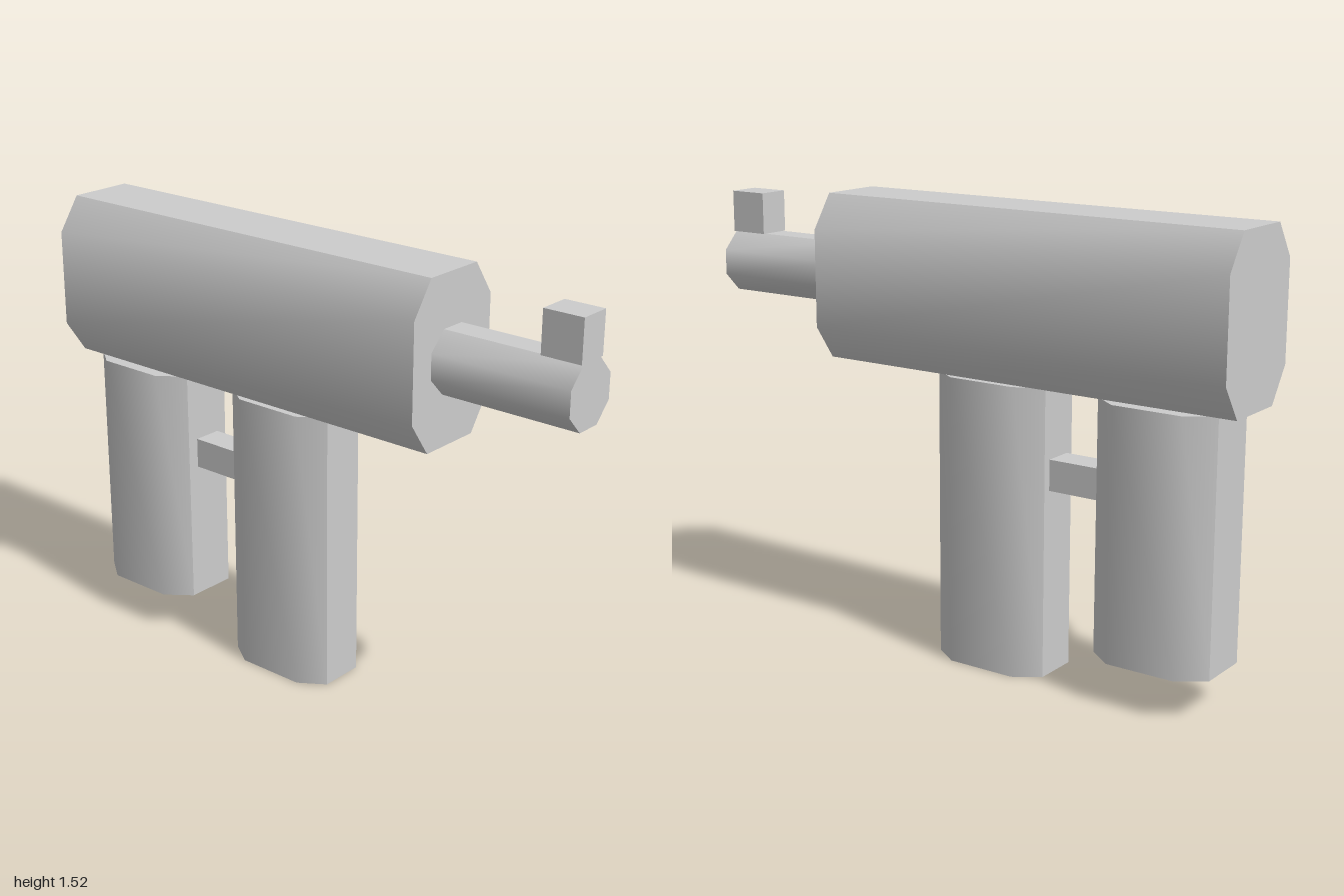
import * as THREE from 'three';
import { toCreasedNormals } from 'three/addons/utils/BufferGeometryUtils.js';

// Eight-sided bar: half sizes a, b, flats of half length fa, fb, extruded along z from 0
function octagonBar(a, b, fa, fb, length) {
  const quarter = [[a, -fb], [a, fb], [fa, b], [-fa, b]];
  const points = [...quarter, ...quarter.map(([u, v]) => [-u, -v])];
  const shape = new THREE.Shape(points.map(([u, v]) => new THREE.Vector2(u, v)));
  const bar = new THREE.ExtrudeGeometry(shape, { depth: length, bevelEnabled: false, curveSegments: 1 });
  bar.clearGroups();
  return toCreasedNormals(bar, Math.PI / 4);
}

export function createModel() {
  const group = new THREE.Group();
  const grey = new THREE.MeshStandardMaterial({ color: 0xcccccc });
  grey.name = 'light grey';

  const add = (name, geometry, x, y, z = 0) => {
    const mesh = new THREE.Mesh(geometry, grey);
    mesh.name = name;
    mesh.position.set(x, y, z);
    group.add(mesh);
  };

  // Horizontal bars run along x
  const alongX = (g) => g.rotateY(Math.PI / 2);
  add('body', alongX(octagonBar(0.19, 0.275, 0.112, 0.162, 1.515)), -1, 1.243);
  add('barrel', alongX(octagonBar(0.103, 0.103, 0.044, 0.042, 0.485)), 0.515, 1.243);

  // Upright bars run along y
  const upright = (g) => g.rotateX(-Math.PI / 2);
  add('rearGrip', upright(octagonBar(0.206, 0.155, 0.12, 0.09, 0.828)), -0.724, 0.14);
  add('frontGrip', upright(octagonBar(0.206, 0.135, 0.12, 0.078, 0.968)), -0.113, 0);

  // Small blocks
  add('trigger', new THREE.BoxGeometry(0.2, 0.103, 0.1), -0.419, 0.677);
  add('sight', new THREE.BoxGeometry(0.137, 0.14, 0.11), 0.9315, 1.416);

  return group;
}
